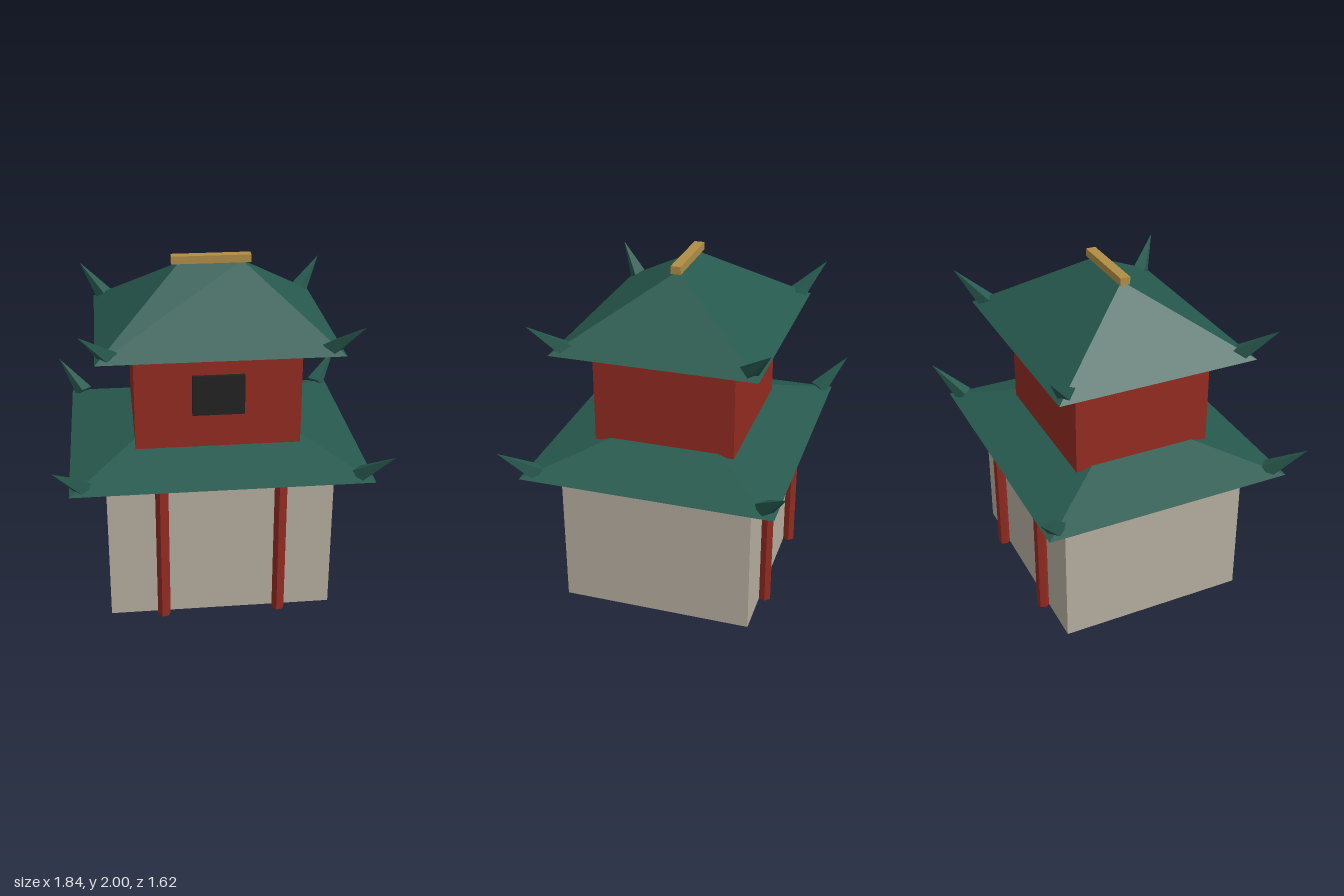
import * as THREE from 'three';

const material = (name, color) => {
  const m = new THREE.MeshStandardMaterial({ color });
  m.name = name;
  return m;
};

function add(parent, name, geometry, mat, x = 0, y = 0, z = 0) {
  const mesh = new THREE.Mesh(geometry, mat);
  mesh.name = name;
  mesh.position.set(x, y, z);
  parent.add(mesh);
  return mesh;
}

// Closed hip roof: rectangular eaves rising to a ridge along x
function hipRoofGeometry(w, d, h, ridge) {
  const a = [-w, 0, d], b = [w, 0, d], c = [w, 0, -d], e = [-w, 0, -d];
  const l = [-ridge, h, 0], r = [ridge, h, 0];
  const faces = [
    a, b, r, a, r, l, // front
    c, e, l, c, l, r, // back
    b, c, r, // left end
    e, a, l, // right end
    a, e, c, a, c, b, // underside
  ];
  const g = new THREE.BufferGeometry();
  g.setAttribute('position', new THREE.Float32BufferAttribute(faces.flat(), 3));
  g.computeVertexNormals();
  return g;
}

// Roof with an upswept four-sided spike at each corner
function makeRoof(name, w, d, h, ridge, y, mat) {
  const roof = new THREE.Group();
  roof.name = name;
  roof.position.y = y;
  add(roof, name + 'Slopes', hipRoofGeometry(w, d, h, ridge), mat);

  const spike = new THREE.CylinderGeometry(0, 0.056, 0.28, 4).toNonIndexed();
  spike.rotateY(Math.PI / 4);
  spike.translate(0, 0.14, 0);
  spike.computeVertexNormals();
  for (const sx of [-1, 1]) {
    for (const sz of [-1, 1]) {
      const m = add(roof, 'cornerSpike', spike, mat, sx * (w - 0.077), 0.016, sz * (d - 0.076));
      m.rotation.order = 'YXZ';
      m.rotation.set(0.895, Math.atan2(sx, sz), 0);
    }
  }
  return roof;
}

export function createModel() {
  const stone = material('stone', 0xb5ad9f);
  const red = material('redLacquer', 0x922b21);
  const green = material('greenTile', 0x27594e);
  const gold = material('gold', 0xb08d45);
  const dark = material('darkWindow', 0x222222);

  const model = new THREE.Group();
  model.name = 'pavilionTower';

  // Ground storey
  add(model, 'lowerStorey', new THREE.BoxGeometry(1.29, 0.885, 1.12), stone, 0, 0.4425, 0);

  // Hexagonal columns along the front and back walls
  const column = new THREE.CylinderGeometry(0.038, 0.038, 0.885, 6).toNonIndexed();
  column.computeVertexNormals();
  for (const x of [-0.337, 0.337]) {
    for (const z of [-0.589, 0.589]) {
      add(model, 'column', column, red, x, 0.4425, z).rotation.y = -0.35;
    }
  }

  // Upper storey with a front window
  add(model, 'upperStorey', new THREE.BoxGeometry(0.94, 0.585, 0.82), red, 0, 1.2925, 0);
  add(model, 'window', new THREE.BoxGeometry(0.295, 0.235, 0.04), dark, 0, 1.318, 0.41);

  // Roofs and ridge beam
  model.add(makeRoof('lowerRoof', 0.845, 0.73, 0.237, 0.185, 0.885, green));
  model.add(makeRoof('upperRoof', 0.675, 0.585, 0.375, 0.18, 1.585, green));
  add(model, 'ridgeBeam', new THREE.BoxGeometry(0.454, 0.045, 0.058), gold, 0, 1.9775, 0);

  return model;
}
